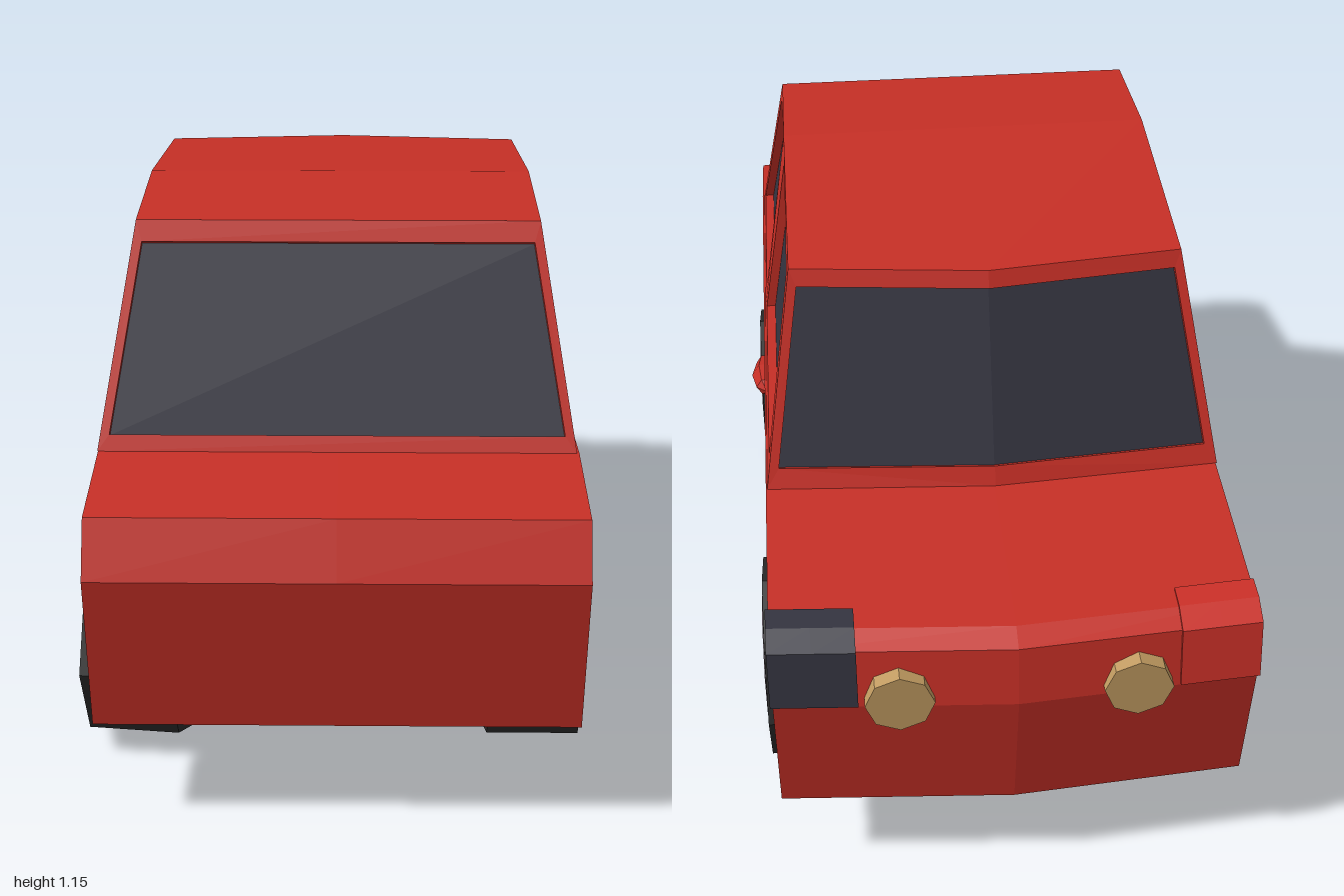
import * as THREE from 'three';

const mat = (color) => new THREE.MeshStandardMaterial({ color, flatShading: true, side: THREE.DoubleSide });
const CX = 0.01, HALF = 0.475;

export function createModel() {
  const car = new THREE.Group();
  car.name = 'car';
  const red = mat(0xc62f26), glass = mat(0x33333f), rubber = mat(0x2a2a2a);
  const hubGrey = mat(0x7b6c79), amber = mat(0xc09a60), lampRed = mat(0xcc3028);

  const add = (name, geometry, material, parent = car) => {
    const mesh = new THREE.Mesh(geometry, material);
    mesh.name = name;
    parent.add(mesh);
    return mesh;
  };

  // Side profile [z, y] extruded from x0 to x1, with the -z end bowed outwards
  const sideExtrude = (profile, x0, x1) => {
    const shape = new THREE.Shape(profile.map(([z, y]) => new THREE.Vector2(-z, y)));
    const g = new THREE.ExtrudeGeometry(shape, { depth: x1 - x0, steps: 2, bevelEnabled: false });
    g.rotateY(Math.PI / 2).translate(x0, 0, 0);
    const p = g.attributes.position;
    for (let i = 0; i < p.count; i++) {
      const z = p.getZ(i);
      if (z < -0.82 || (z < -0.45 && p.getY(i) > 0.6)) {
        const bow = 0.035 * Math.max(0, 1 - Math.abs(p.getX(i) - CX) / HALF);
        p.setZ(i, z - bow);
      }
    }
    g.computeVertexNormals();
    return g;
  };

  // Lower body with open wheel arches
  add('body', sideExtrude([
    [0.94, 0.22], [1.0, 0.55], [0.95, 0.66], [0.71, 0.70], [-0.49, 0.69],
    [-0.90, 0.675], [-0.945, 0.655], [-0.965, 0.53], [-0.915, 0.22],
    [-0.73, 0.22], [-0.66, 0.40], [-0.485, 0.475], [-0.31, 0.40], [-0.24, 0.22],
    [0.28, 0.22], [0.35, 0.40], [0.53, 0.475], [0.70, 0.40], [0.77, 0.22],
  ], CX - HALF, CX + HALF), red);

  // Corner lamps wrapped around the -z end
  const cornerLamp = [[-0.85, 0.55], [-0.85, 0.681], [-0.903, 0.68], [-0.952, 0.658], [-0.972, 0.535]];
  add('darkCornerLamp', sideExtrude(cornerLamp, 0.32, 0.49), glass);
  add('redCornerLamp', sideExtrude(cornerLamp, -0.47, -0.31), lampRed);

  // Flat polygons from loops of points, each fanned from its first corner
  const polygons = (loops) => {
    const v = [];
    for (const l of loops) {
      for (let i = 1; i < l.length - 1; i++) v.push(...l[0], ...l[i], ...l[i + 1]);
    }
    const g = new THREE.BufferGeometry();
    g.setAttribute('position', new THREE.Float32BufferAttribute(v, 3));
    g.computeVertexNormals();
    return g;
  };

  // Window: frame from outer to inner loop, a reveal, and the recessed pane
  const windowPanel = (name, outer, inner, inset, paneLoops) => {
    const back = inner.map((p) => p.map((c, k) => c + inset[k]));
    const faces = [];
    outer.forEach((o, i) => {
      const j = (i + 1) % outer.length;
      faces.push([o, outer[j], inner[j], inner[i]], [inner[i], inner[j], back[j], back[i]]);
    });
    add(name + 'Frame', polygons(faces), red);
    add(name + 'Pane', polygons(paneLoops.map((l) => l.map((i) => back[i]))), glass);
  };

  const rise = (y) => (y - 0.69) / 0.425;
  const halfWidth = (y) => HALF - 0.07 * Math.min(rise(y), 1);
  const sideX = (s, y) => 0.007 + s * halfWidth(y);

  // Side windows, two per side
  for (const s of [-1, 1]) {
    const side = s > 0 ? 'left' : 'right';
    const at = (points) => points.map(([z, y]) => [sideX(s, y), y, z]);
    windowPanel(side + 'FrontWindow',
      at([[0.71, 0.70], [0.51, 1.12], [0.195, 1.15], [0.195, 0.70]]),
      at([[0.665, 0.73], [0.49, 1.09], [0.235, 1.12], [0.235, 0.725]]),
      [-0.02 * s, 0, 0], [[0, 1, 2, 3]]);
    windowPanel(side + 'RearWindow',
      at([[0.195, 0.69], [0.195, 1.15], [-0.31, 1.115], [-0.49, 0.69]]),
      at([[0.155, 0.725], [0.155, 1.115], [-0.275, 1.085], [-0.425, 0.73]]),
      [-0.02 * s, 0, 0], [[0, 1, 2, 3]]);
  }

  // Flat front screen
  const frontLoop = (y0, y1, margin) => [[-1, y0], [1, y0], [1, y1], [-1, y1]].map(
    ([s, y]) => [sideX(s, y) - s * margin, y, 0.71 - 0.2 * (y - 0.70) / 0.42]);
  windowPanel('frontScreen', frontLoop(0.70, 1.12, 0), frontLoop(0.73, 1.08, 0.018),
    [0, -0.006, -0.012], [[0, 1, 2, 3]]);

  // Rear screen, folded along its middle
  const rearLoop = (y0, y1, margin) => [[-1, y0], [0, y0], [1, y0], [1, y1], [0, y1], [-1, y1]].map(
    ([s, y]) => [sideX(s, y) - s * margin, y,
      -0.49 + 0.18 * rise(y) - (s ? 0 : 0.033 + 0.012 * rise(y))]);
  windowPanel('rearScreen', rearLoop(0.69, 1.115, 0), rearLoop(0.73, 1.08, 0.02),
    [0, -0.006, 0.012], [[0, 1, 4, 5], [1, 2, 3, 4]]);

  // Roof with a cross crease
  const L = sideX(-1, 1.12), R = sideX(1, 1.12);
  add('roof', polygons([
    [[L, 1.12, 0.51], [R, 1.12, 0.51], [R, 1.15, 0.195], [L, 1.15, 0.195]],
    [[L, 1.15, 0.195], [R, 1.15, 0.195], [R, 1.115, -0.31], [0.007, 1.115, -0.355], [L, 1.115, -0.31]],
  ]), red);

  // Door handles
  for (const s of [-1, 1]) {
    const handle = add('doorHandle', new THREE.SphereGeometry(1, 6, 4).rotateX(Math.PI / 2), red);
    handle.scale.set(0.035, 0.033, 0.07);
    handle.position.set(CX + s * HALF, 0.585, 0.075);
  }

  // Round lamps on the -z end
  for (const x of [-0.225, 0.24]) {
    const lamp = add('roundLamp', new THREE.CylinderGeometry(0.068, 0.068, 0.07, 8).rotateX(Math.PI / 2), amber);
    lamp.position.set(x, 0.55, -0.965);
  }

  // Eight-sided wheels; those on the -x side are slightly toed
  const wheel = (name, x, z, yaw) => {
    const group = new THREE.Group();
    group.name = name;
    const s = Math.sign(x);
    const disc = (part, r, w, material, offset, turn) => {
      const g = new THREE.CylinderGeometry(r, r, w, 8).rotateY(turn).rotateZ(Math.PI / 2);
      add(part, g, material, group).position.x = s * offset;
    };
    disc('tyre', 0.217, 0.19, rubber, 0, 0);
    disc('hubRing', 0.15, 0.02, rubber, 0.088, Math.PI / 8);
    disc('hub', 0.138, 0.02, hubGrey, 0.09, Math.PI / 8);
    group.position.set(x, 0.217, z);
    group.rotation.y = yaw;
    car.add(group);
  };
  for (const [end, z, yaw] of [['front', 0.53, -0.12], ['rear', -0.485, -0.06]]) {
    wheel(end + 'LeftWheel', 0.415, z, 0);
    wheel(end + 'RightWheel', -0.4, z, yaw);
    const axle = add(end + 'Axle', new THREE.CylinderGeometry(0.03, 0.03, 0.72, 8).rotateZ(Math.PI / 2), rubber);
    axle.position.set(0, 0.215, z);
  }

  return car;
}
